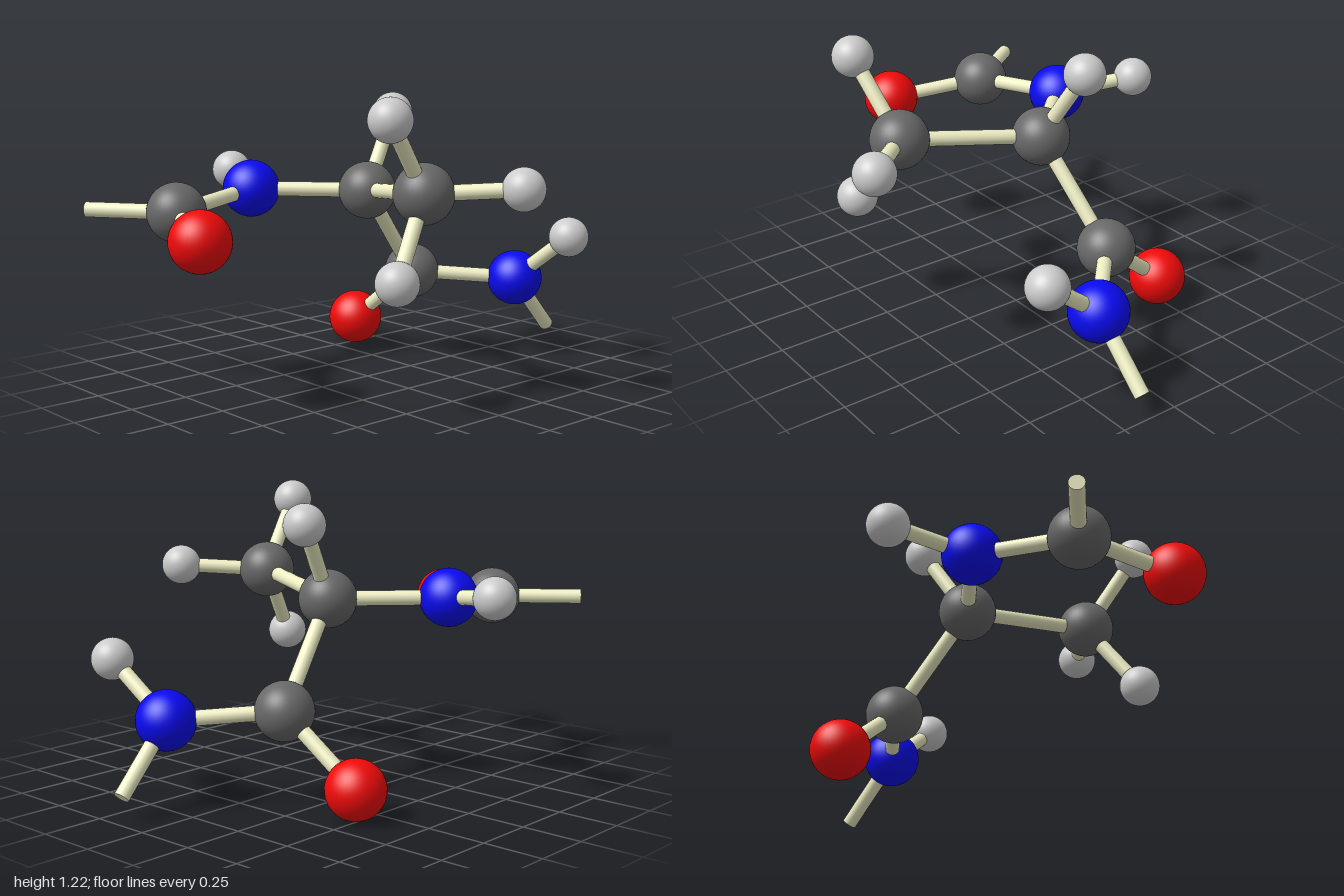
import * as THREE from 'three';

// Atom kinds: colour and radius
const KINDS = {
  carbon: { color: 0x686868, radius: 0.12 },
  nitrogen: { color: 0x0a0af0, radius: 0.12 },
  oxygen: { color: 0xf00a0a, radius: 0.12 },
  hydrogen: { color: 0xbcbcbc, radius: 0.085 },
};
const BOND_RADIUS = 0.031;

// Atom name: kind and centre
const ATOMS = {
  centralCarbon: ['carbon', -0.077, 0.78, -0.067],
  centralHydrogen: ['hydrogen', -0.136, 1.094, -0.267],
  methylCarbon: ['carbon', 0.473, 0.837, 0.138],
  methylHydrogenTop: ['hydrogen', 0.533, 1.132, 0.368],
  methylHydrogenSide: ['hydrogen', 0.746, 0.858, -0.122],
  methylHydrogenBottom: ['hydrogen', 0.555, 0.53, 0.352],
  frontNitrogen: ['nitrogen', -0.43, 0.783, 0.274],
  frontHydrogen: ['hydrogen', -0.753, 0.824, 0.138],
  frontCarbon: ['carbon', -0.332, 0.735, 0.718],
  frontOxygen: ['oxygen', 0.056, 0.684, 0.877],
  backCarbon: ['carbon', -0.155, 0.382, -0.403],
  backOxygen: ['oxygen', -0.486, 0.122, -0.361],
  backNitrogen: ['nitrogen', 0.162, 0.353, -0.733],
  backHydrogen: ['hydrogen', 0.436, 0.565, -0.768],
};

const BONDS = [
  ['centralCarbon', 'centralHydrogen'],
  ['centralCarbon', 'methylCarbon'],
  ['centralCarbon', 'frontNitrogen'],
  ['centralCarbon', 'backCarbon'],
  ['methylCarbon', 'methylHydrogenTop'],
  ['methylCarbon', 'methylHydrogenSide'],
  ['methylCarbon', 'methylHydrogenBottom'],
  ['frontNitrogen', 'frontHydrogen'],
  ['frontNitrogen', 'frontCarbon'],
  ['frontCarbon', 'frontOxygen'],
  ['backCarbon', 'backOxygen'],
  ['backCarbon', 'backNitrogen'],
  ['backNitrogen', 'backHydrogen'],
];

// Open bonds that end in the air
const OPEN_BONDS = [
  ['frontCarbon', [-0.638, 0.736, 0.944]],
  ['backNitrogen', [0.146, 0.1, -0.975]],
];

const UP = new THREE.Vector3(0, 1, 0);

// Cylinder between two points
function makeBond(name, from, to, material) {
  const axis = to.clone().sub(from);
  const geometry = new THREE.CylinderGeometry(BOND_RADIUS, BOND_RADIUS, axis.length(), 20);
  const bond = new THREE.Mesh(geometry, material);
  bond.name = name;
  bond.position.copy(from).add(to).multiplyScalar(0.5);
  bond.quaternion.setFromUnitVectors(UP, axis.normalize());
  return bond;
}

export function createModel() {
  const model = new THREE.Group();
  model.name = 'molecule';
  const atoms = new THREE.Group();
  atoms.name = 'atoms';
  const bonds = new THREE.Group();
  bonds.name = 'bonds';
  model.add(atoms, bonds);

  // One shared ball per atom kind
  const balls = {};
  for (const [kind, { color, radius }] of Object.entries(KINDS)) {
    balls[kind] = {
      geometry: new THREE.SphereGeometry(radius, 40, 28),
      material: new THREE.MeshStandardMaterial({ color }),
    };
  }

  // Atoms
  const centres = {};
  for (const [name, [kind, x, y, z]] of Object.entries(ATOMS)) {
    const atom = new THREE.Mesh(balls[kind].geometry, balls[kind].material);
    atom.name = name;
    atom.position.set(x, y, z);
    centres[name] = atom.position;
    atoms.add(atom);
  }

  // Bonds between atoms, then the two open ends
  const bondMaterial = new THREE.MeshStandardMaterial({ color: 0xeeeec4 });
  for (const [a, b] of BONDS) {
    bonds.add(makeBond(`${a} to ${b} bond`, centres[a], centres[b], bondMaterial));
  }
  for (const [a, end] of OPEN_BONDS) {
    bonds.add(makeBond(`${a} open bond`, centres[a], new THREE.Vector3(...end), bondMaterial));
  }
  return model;
}
